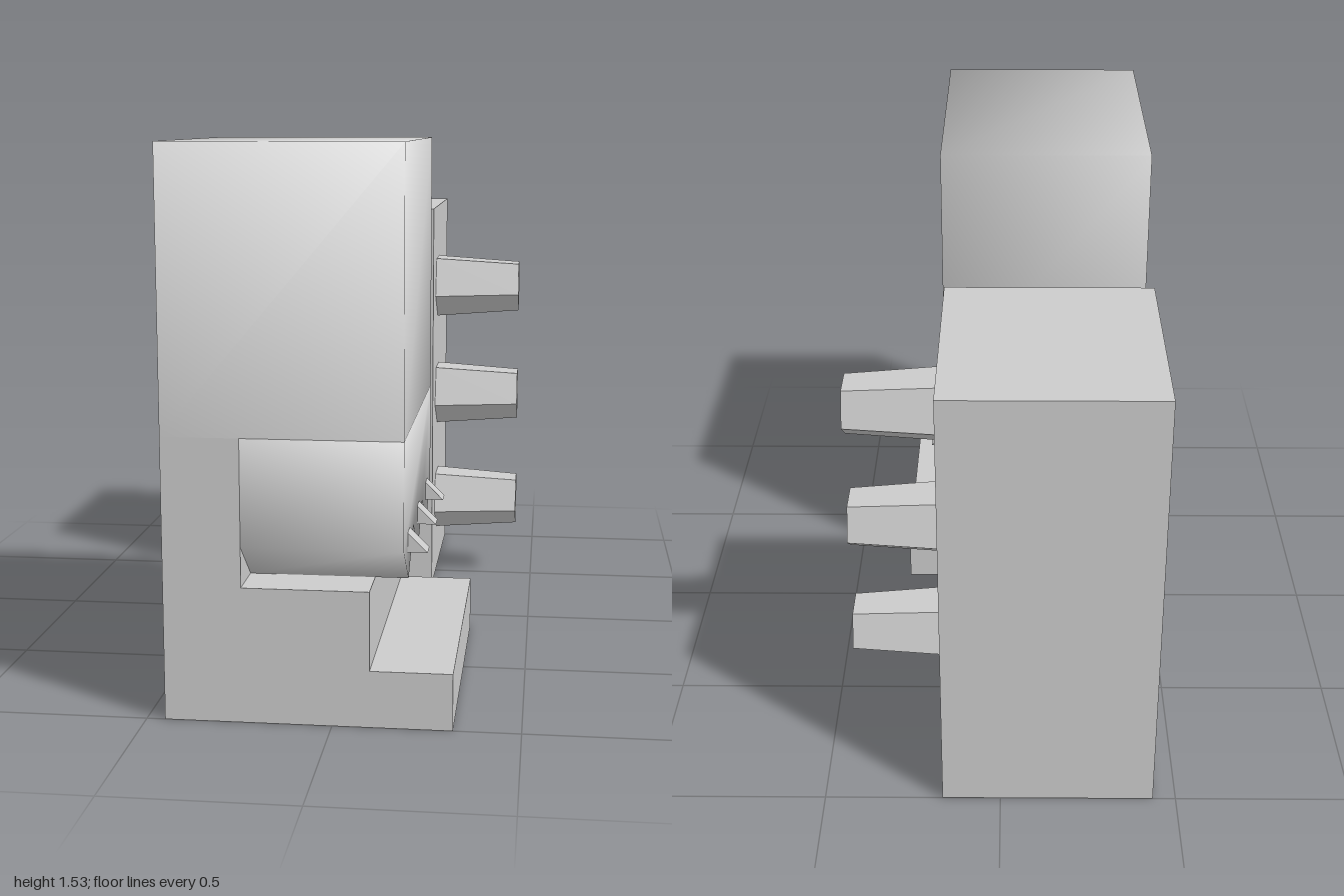
import * as THREE from 'three';
import { mergeVertices } from 'three/addons/utils/BufferGeometryUtils.js';

const flat = new THREE.MeshStandardMaterial({ color: 0xcccccc, flatShading: true, side: THREE.DoubleSide });
const smooth = new THREE.MeshStandardMaterial({ color: 0xcccccc, side: THREE.DoubleSide });

const Z0 = 0.115, Z1 = 1; // depth range of the front tower
const RIGHT = 0.19, LEFT = -0.45, SLOT = -0.24; // tower faces and slot wall in x
const LEDGE = 0.37, SEAM = 0.77, TOP = 1.53; // tower levels in y

const toShape = (pts) => new THREE.Shape(pts.map(([x, y]) => new THREE.Vector2(x, y)));

function add(parent, name, geometry, material) {
  const mesh = new THREE.Mesh(geometry, material);
  mesh.name = name;
  parent.add(mesh);
  return mesh;
}

// Box given by its two corners, without the listed sides (0..5 = +x -x +y -y +z -z)
function openBox([x0, y0, z0], [x1, y1, z1], skip) {
  const g = new THREE.BoxGeometry(x1 - x0, y1 - y0, z1 - z0);
  g.translate((x0 + x1) / 2, (y0 + y1) / 2, (z0 + z1) / 2);
  g.setIndex([...g.index.array].filter((_, i) => !skip.includes(Math.floor(i / 6))));
  g.clearGroups();
  return g;
}

// Shares the corners so that the shading runs softly over the edges
function soften(geometry) {
  geometry.deleteAttribute('normal');
  geometry.deleteAttribute('uv');
  const g = mergeVertices(geometry);
  g.computeVertexNormals();
  return g;
}

// Wall that follows an outline in x, y through the depth of the tower
function wall(outline) {
  const pos = [];
  for (let i = 0; i < outline.length - 1; i++) {
    const [ax, ay] = outline[i], [bx, by] = outline[i + 1];
    pos.push(ax, ay, Z1, ax, ay, Z0, bx, by, Z0, ax, ay, Z1, bx, by, Z0, bx, by, Z1);
  }
  const g = new THREE.BufferGeometry();
  g.setAttribute('position', new THREE.Float32BufferAttribute(pos, 3));
  g.computeVertexNormals();
  return g;
}

function createTower() {
  const tower = new THREE.Group();
  tower.name = 'frontTower';

  // Stepped base, open underneath
  const steps = [[0.32, 0], [0.32, 0.155], [0.1, 0.155], [0.1, LEDGE], [SLOT, LEDGE], [SLOT, SEAM]];
  add(tower, 'baseSteps', wall(steps), flat);
  add(tower, 'baseOuterWall', wall([[LEFT, TOP], [LEFT, 0]]), flat);
  const profile = toShape([[LEFT, 0], ...steps, [LEFT, SEAM]]);
  add(tower, 'baseFront', new THREE.ShapeGeometry(profile), flat).position.z = Z1;
  const back = new THREE.ShapeGeometry(profile);
  back.index.array.reverse(); // faces backwards
  add(tower, 'baseBack', back, flat).position.z = Z0;

  // Softly shaded upper block
  add(tower, 'upperBlock', soften(openBox([LEFT, SEAM, Z0], [RIGHT, TOP, Z1], [1, 3])), smooth);

  // Lower block ending in a row of three ridges
  const tips = [0.265, 0.56, 0.86], valleys = [Z0, 0.41, 0.71, Z1];
  const zigzag = [[Z0, SEAM], [valleys[0], 0.48]];
  tips.forEach((z, i) => zigzag.push([z, LEDGE], [valleys[i + 1], 0.48]));
  zigzag.push([Z1, SEAM]);
  const jaw = new THREE.ExtrudeGeometry(toShape(zigzag), { depth: RIGHT - SLOT, bevelEnabled: false });
  jaw.rotateY(-Math.PI / 2).translate(RIGHT, 0, 0);
  add(tower, 'ridgedBlock', soften(jaw), smooth);

  // Small wedge above each ridge
  const wedge = toShape([[RIGHT, 0.45], [0.243, 0.45], [RIGHT, 0.503]]);
  for (const z of tips) {
    const g = new THREE.ExtrudeGeometry(wedge, { depth: 0.062, bevelEnabled: false });
    add(tower, 'wedge', g, flat).position.z = z - 0.031;
  }
  return tower;
}

function createRearBlock() {
  const block = new THREE.Group();
  block.name = 'rearBlock';
  // Plain block, open underneath
  add(block, 'rearBody', openBox([-0.435, 0, -1], [0.165, 1.29, -0.32], [3]), flat);
  // Tapered five-sided pegs, one corner pointing down
  for (const y of [0.266, 0.643, 1.021]) {
    const g = new THREE.CylinderGeometry(0.091, 0.113, 0.28, 5, 1, false, Math.PI / 2);
    g.rotateZ(-Math.PI / 2);
    add(block, 'peg', g, flat).position.set(0.305, y, -0.532);
  }
  return block;
}

export function createModel() {
  const model = new THREE.Group();
  model.name = 'model';
  model.add(createTower(), createRearBlock());
  return model;
}
